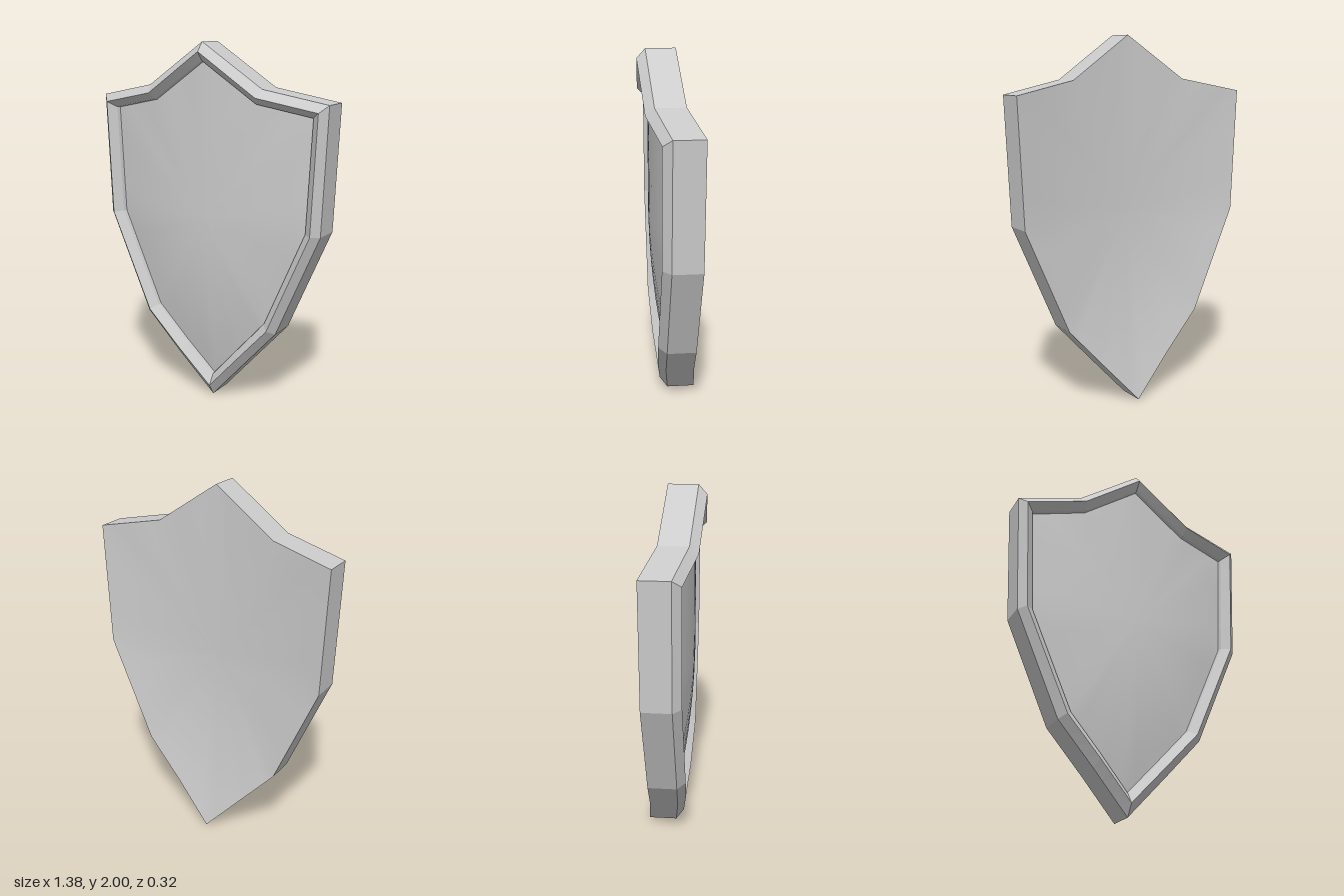
import * as THREE from 'three';

const STEPS = 4; // subdivisions of every outline edge
const RINGS = 8; // concentric rings in the curved faces

// Right half of the outline, top to bottom: [x, y, z of the front edge]
const outer = [[0, 2, 0.115], [0.343, 1.767, 0.095], [0.69, 1.698, 0.04], [0.66, 1.02, 0.04],
  [0.412, 0.45, 0.04], [0.206, 0.225, 0.027], [0, 0, 0]];
// The same corners on the crest of the rim and on its inner edge: [x, y]
const crest = [[0, 1.95], [0.325, 1.725], [0.65, 1.66], [0.62, 1.025], [0.378, 0.473], [0.189, 0.27], [0, 0.066]];
const inner = [[0, 1.903], [0.312, 1.69], [0.607, 1.63], [0.577, 1.03], [0.344, 0.497], [0.172, 0.31], [0, 0.123]];

// Mirrors a half outline into a closed loop, raised by dz, with straight subdivided edges
function makeLoop(half, dz) {
  const right = half.map(([x, y], i) => new THREE.Vector3(x, y, outer[i][2] + dz));
  const left = right.slice(1, -1).reverse().map((p) => new THREE.Vector3(-p.x, p.y, p.z));
  const corners = [...right, ...left];
  return corners.flatMap((p, i) => {
    const q = corners[(i + 1) % corners.length];
    return Array.from({ length: STEPS }, (_, k) => p.clone().lerp(q, k / STEPS));
  });
}

// Bowed surface: curved across the width and swept back towards the tip
const bow = (x, y) => 0.115 - 0.16 * x * x - 0.1 * Math.max(0, 1.1 - y) ** 2;

// Rings from a loop to the middle, following the bowed surface
function fillLoop(loop, dz) {
  return Array.from({ length: RINGS + 1 }, (_, r) => {
    const t = 1 - r / RINGS;
    return loop.map((b) => {
      const x = b.x * t, y = 1.05 + (b.y - 1.05) * t;
      const edge = b.z - bow(b.x, b.y) - dz;
      return new THREE.Vector3(x, y, bow(x, y) + dz + edge * t * t);
    });
  });
}

// Skins a series of closed loops
function skin(name, loops, flat) {
  const n = loops[0].length;
  const index = [];
  for (let r = 0; r < loops.length - 1; r++) {
    for (let i = 0; i < n; i++) {
      const j = (i + 1) % n;
      const a = r * n + i, b = a + n, c = r * n + j, d = c + n;
      index.push(a, b, c, b, d, c);
    }
  }
  let geometry = new THREE.BufferGeometry().setFromPoints(loops.flat());
  geometry.setIndex(index);
  if (flat) geometry = geometry.toNonIndexed();
  geometry.computeVertexNormals();
  const material = new THREE.MeshStandardMaterial({ color: 0xcccccc, flatShading: flat });
  const mesh = new THREE.Mesh(geometry, material);
  mesh.name = name;
  return mesh;
}

export function createModel() {
  const shield = new THREE.Group();
  shield.name = 'shield';

  const back = makeLoop(outer, -0.158);
  const front = makeLoop(outer, 0);
  const ridge = makeLoop(crest, 0.045);
  const lip = makeLoop(inner, 0.005);
  const floor = makeLoop(inner.map(([x, y]) => [x * 0.99, 1.05 + (y - 1.05) * 0.995]), -0.015);

  // Side wall, then the raised rim with its two slopes and the small step to the panel
  shield.add(skin('sideWall', [back, front], true));
  shield.add(skin('rim', [front, ridge, lip, floor], true));

  // Bowed faces
  shield.add(skin('frontPanel', fillLoop(floor, -0.015), false));
  shield.add(skin('backFace', fillLoop(back, -0.158).reverse(), false));
  return shield;
}
